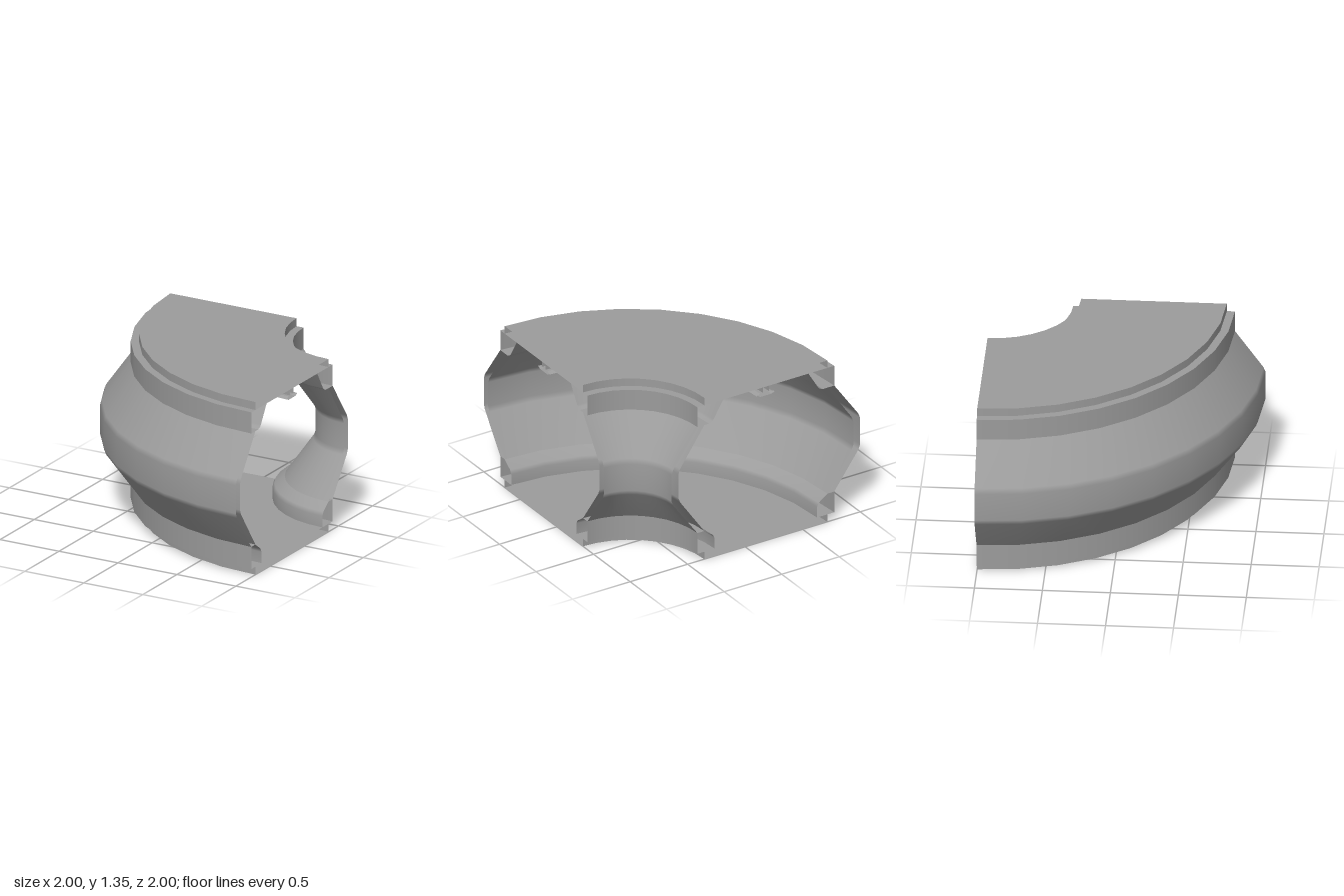
import * as THREE from 'three';

// Quarter-turn corridor section: open-ended profiles swept 90 degrees about one corner
const SEGMENTS = 9;
const RADIUS_SUM = 2.36; // outer radius + matching inner radius
const CENTRE = { x: 1, z: -1 };

const material = new THREE.MeshStandardMaterial({ color: 0x9c9c9c, side: THREE.DoubleSide });

// Sweeps one smooth strip of [radius, height] points; upward strips face outward
function sweep(points) {
  const profile = points.map(([r, y]) => new THREE.Vector2(r, y));
  const geometry = new THREE.LatheGeometry(profile, SEGMENTS, Math.PI * 1.5, Math.PI / 2);
  geometry.translate(CENTRE.x, 0, CENTRE.z);
  return new THREE.Mesh(geometry, material);
}

// A part made of strips with hard edges between them
function part(name, strips) {
  const group = new THREE.Group();
  group.name = name;
  strips.forEach((strip, i) => {
    const mesh = sweep(strip);
    mesh.name = `${name}Face${i + 1}`;
    group.add(mesh);
  });
  return group;
}

// Closed polygon profile (counter-clockwise in radius/height), all edges hard
const faceted = (corners) => corners.map((p, i) => [p, corners[(i + 1) % corners.length]]);

// Reflects strips onto the inside of the bend, keeping the faces outward
const mirrored = (strips) =>
  strips.map((strip) => strip.map(([r, y]) => [RADIUS_SUM - r, y]).reverse());

export function createModel() {
  const model = new THREE.Group();
  model.name = 'curvedCorridor';

  // Floor and ceiling slabs
  const slab = (y0, y1) => faceted([[0.645, y0], [1.715, y0], [1.715, y1], [0.645, y1]]);
  model.add(part('floorSlab', slab(0, 0.062)));
  model.add(part('ceilingSlab', slab(1.285, 1.347)));

  // Bulging double-skinned wall
  const wall = [
    [[1.775, 0.235], [1.985, 0.525], [2, 0.565], [2, 0.785], [1.985, 0.825], [1.775, 1.12]],
    [[1.715, 1.12], [1.925, 0.815], [1.94, 0.775], [1.94, 0.575], [1.925, 0.535], [1.715, 0.235]],
  ];

  // Skirting at the foot of the wall
  const skirting = [
    [[1.625, 0.062], [1.775, 0.062]],
    [[1.775, 0.062], [1.775, 0.235]],
    [[1.775, 0.235], [1.715, 0.235]],
    [[1.715, 0.235], [1.64, 0.18], [1.625, 0.15], [1.625, 0.062]],
  ];

  // Cove at the head of the wall
  const cove = [
    [[1.675, 1.12], [1.775, 1.12]],
    [[1.775, 1.12], [1.775, 1.285]],
    [[1.775, 1.285], [1.55, 1.285]],
    [[1.55, 1.285], [1.635, 1.145], [1.647, 1.132], [1.675, 1.12]],
  ];

  for (const [name, strips] of Object.entries({ Wall: wall, Skirting: skirting, Cove: cove })) {
    model.add(part(`outer${name}`, strips));
    model.add(part(`inner${name}`, mirrored(strips)));
  }

  // Ceiling rail: a stem carrying a thin flange with tapered edges
  model.add(part('railStem', [
    [[1.208, 1.24], [1.208, 1.285]],
    [[1.155, 1.285], [1.155, 1.24]],
  ]));
  model.add(part('railFlange', faceted([
    [1.13, 1.212], [1.23, 1.212], [1.26, 1.225], [1.23, 1.24], [1.13, 1.24], [1.1, 1.225],
  ])));

  return model;
}
